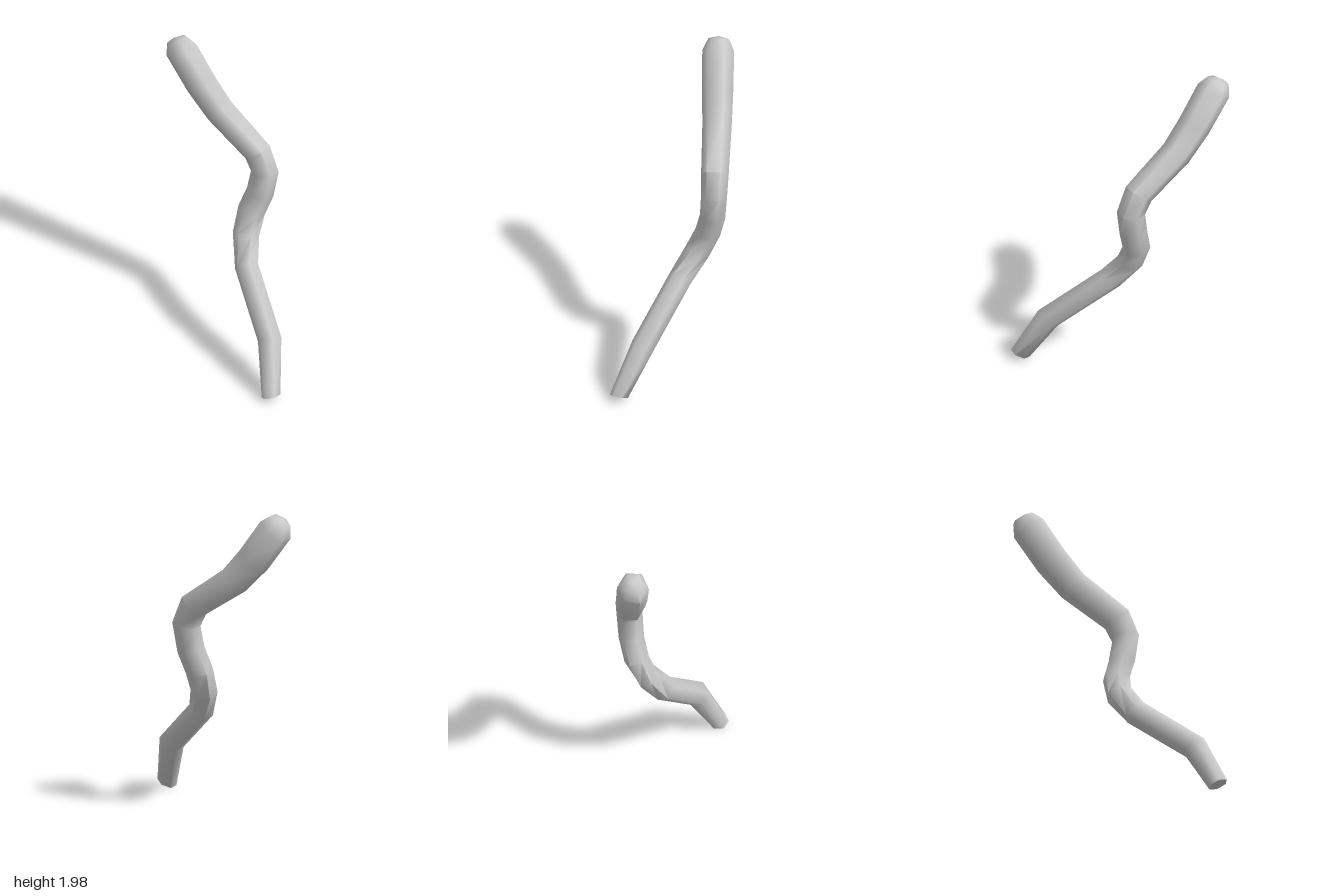
import * as THREE from 'three';
import { mergeVertices, toCreasedNormals } from 'three/addons/utils/BufferGeometryUtils.js';

const SIDES = 6;

// Centre x, y, z and radius of each cross-section, from the thin foot to the thick head
const SECTIONS = [
  [0.577, 0.030, 0.265, 0.060],
  [0.455, 0.33, 0.135, 0.077],
  [0.115, 0.625, -0.045, 0.077],
  [0.03, 0.78, -0.14, 0.082],
  [0.02, 0.92, -0.205, 0.083],
  [0.06, 1.06, -0.24, 0.083],
  [0.085, 1.22, -0.253, 0.085],
  [0.03, 1.345, -0.25, 0.09],
  [-0.25, 1.54, -0.222, 0.096],
  [-0.385, 1.69, -0.205, 0.102],
  [-0.53, 1.892, -0.187, 0.104],
  [-0.566, 1.955, -0.185, 0.068],
];

// Skins the rings around the centre line and closes both ends
function stickGeometry() {
  const centres = SECTIONS.map(([x, y, z]) => new THREE.Vector3(x, y, z));
  const last = centres.length - 1;
  const positions = [];
  const indices = [];

  centres.forEach((c, i) => {
    const before = centres[Math.max(i - 1, 0)];
    const after = centres[Math.min(i + 1, last)];
    const t = new THREE.Vector3();
    if (i > 0) t.add(c.clone().sub(before).normalize());
    if (i < last) t.add(after.clone().sub(c).normalize());
    if (i === 0) t.set(-0.4, 0.9, -0.1); // slanted cut at the foot
    t.normalize();
    const u = new THREE.Vector3(0, 0, 1).addScaledVector(t, -t.z).normalize();
    const v = new THREE.Vector3().crossVectors(t, u);
    const r = SECTIONS[i][3];
    for (let j = 0; j < SIDES; j++) {
      const a = (j / SIDES) * Math.PI * 2;
      const p = c.clone()
        .addScaledVector(u, Math.cos(a) * r * 0.95)
        .addScaledVector(v, Math.sin(a) * r * 1.06);
      positions.push(p.x, p.y, p.z);
    }
  });

  // Side faces
  for (let i = 0; i < last; i++) {
    for (let j = 0; j < SIDES; j++) {
      const k = (j + 1) % SIDES;
      const a = i * SIDES + j, b = i * SIDES + k;
      indices.push(a, b, b + SIDES, a, b + SIDES, a + SIDES);
    }
  }

  // Foot cap and slightly domed head cap
  const foot = positions.length / 3;
  positions.push(0.57, 0.02, 0.265, -0.574, 1.97, -0.185);
  for (let j = 0; j < SIDES; j++) {
    const k = (j + 1) % SIDES;
    indices.push(foot, k, j);
    indices.push(foot + 1, last * SIDES + j, last * SIDES + k);
  }

  const geometry = new THREE.BufferGeometry();
  geometry.setAttribute('position', new THREE.Float32BufferAttribute(positions, 3));
  geometry.setIndex(indices);
  return toCreasedNormals(mergeVertices(geometry), 1.15);
}

export function createModel() {
  const group = new THREE.Group();
  group.name = 'crookedStick';
  const material = new THREE.MeshStandardMaterial({ color: 0xcccccc });
  const stick = new THREE.Mesh(stickGeometry(), material);
  stick.name = 'stick';
  group.add(stick);
  return group;
}
